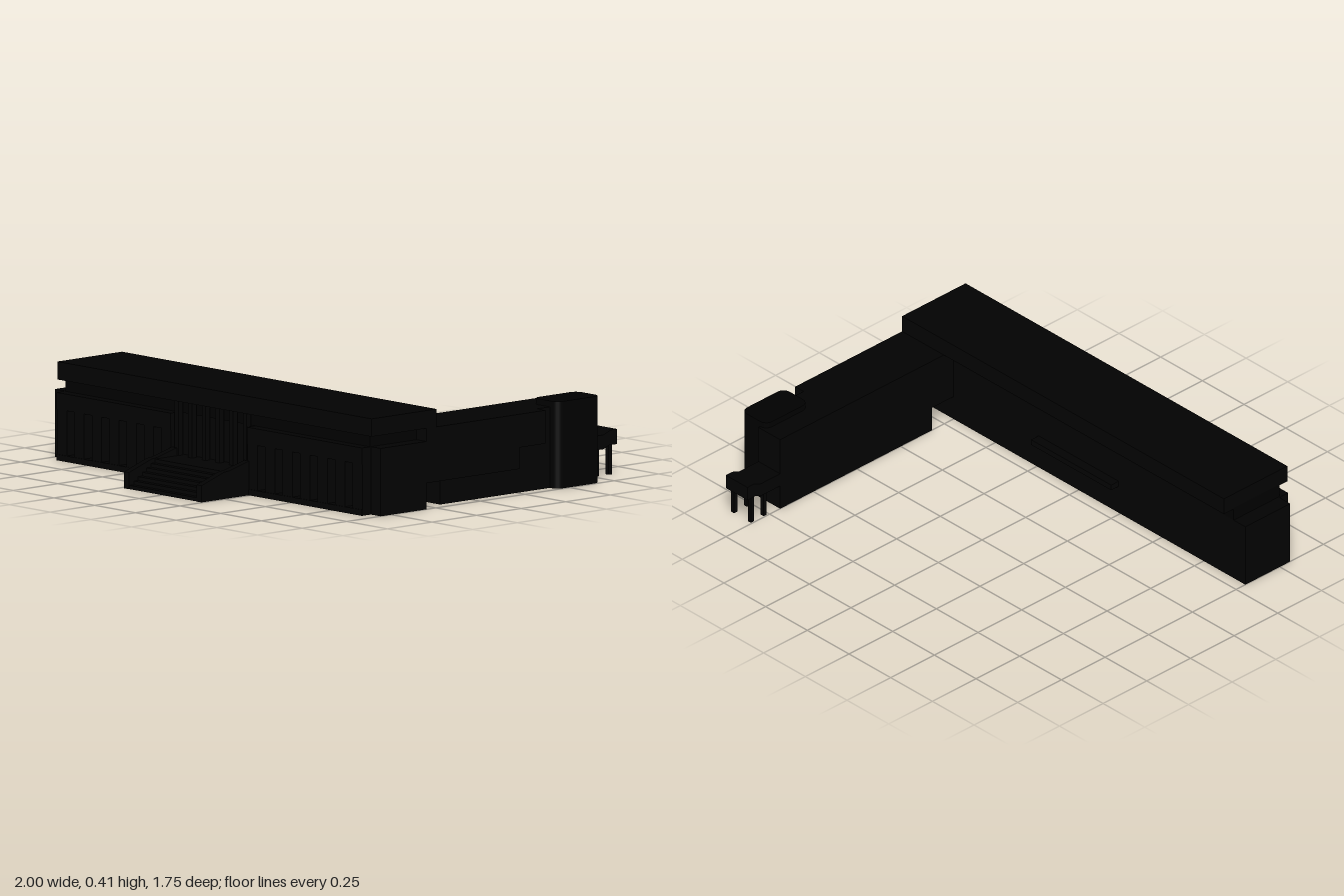
import * as THREE from 'three';

export function createModel() {
  const model = new THREE.Group();
  const charcoal = new THREE.MeshStandardMaterial({ color: 0x020202 });
  charcoal.name = 'charcoal';
  const black = new THREE.MeshStandardMaterial({ color: 0x000000 });
  black.name = 'black';

  const add = (parent, name, geometry, material = charcoal) => {
    const mesh = new THREE.Mesh(geometry, material);
    mesh.name = name;
    parent.add(mesh);
    return mesh;
  };
  // Box given by its limits on each axis
  const box = (parent, name, x0, x1, y0, y1, z0, z1, material) => {
    const mesh = add(parent, name, new THREE.BoxGeometry(x1 - x0, y1 - y0, z1 - z0), material);
    mesh.position.set((x0 + x1) / 2, (y0 + y1) / 2, (z0 + z1) / 2);
    return mesh;
  };
  // Side profile of [z, y] points, extruded along x
  const profile = (parent, name, points, x0, x1) => {
    const shape = new THREE.Shape(points.map(([z, y]) => new THREE.Vector2(-z, y)));
    const g = new THREE.ExtrudeGeometry(shape, { depth: x1 - x0, bevelEnabled: false });
    g.rotateY(Math.PI / 2).translate(x0, 0, 0);
    return add(parent, name, g);
  };
  const group = (name) => {
    const g = new THREE.Group();
    g.name = name;
    model.add(g);
    return g;
  };

  // Main hall: core, upper band and overhanging roof
  const hall = group('mainHall');
  box(hall, 'hallCore', -1, 1, 0, 0.285, 0.303, 0.56);
  box(hall, 'upperBand', -0.93, 0.94, 0.285, 0.345, 0.303, 0.565, black);
  box(hall, 'hallRoof', -0.93, 1, 0.34, 0.415, 0.247, 0.61);

  // Front facade: plinth, frieze and pilasters on both sides of the entrance
  const facade = group('facade');
  for (const side of [-1, 1]) {
    const a = side < 0 ? -0.935 : 0.235, b = side < 0 ? -0.235 : 0.94;
    box(facade, 'plinth', a, b, 0, 0.025, 0.56, 0.61);
    box(facade, 'frieze', a, b, 0.215, 0.285, 0.56, 0.61);
    for (let i = 0; i <= 6; i++) {
      const x = a + 0.03 + (b - a - 0.06) * i / 6;
      box(facade, 'pilaster', x - 0.03, x + 0.03, 0.025, 0.215, 0.56, 0.607);
    }
  }

  // Entrance with tall columns
  const entrance = group('entrance');
  box(entrance, 'porchFloor', -0.235, 0.235, 0, 0.11, 0.56, 0.61);
  for (let i = 0; i < 6; i++) {
    const x = -0.21 + 0.084 * i;
    box(entrance, 'entranceColumn', x - 0.012, x + 0.012, 0.11, 0.34, 0.575, 0.6);
  }

  // Front stairs between sloping side walls
  const stairs = group('frontStairs');
  const wall = [[0.605, 0], [0.875, 0], [0.875, 0.07], [0.75, 0.112], [0.72, 0.115], [0.61, 0.143], [0.605, 0.143]];
  profile(stairs, 'stairWall', wall, -0.23, -0.2);
  profile(stairs, 'stairWall', wall, 0.215, 0.245);
  const steps = 7;
  for (let i = 0; i < steps; i++) {
    const front = 0.872 - 0.024 * i;
    box(stairs, 'step', -0.2, 0.215, 0.11 * i / steps, 0.11 * (i + 1) / steps, 0.605, front);
  }

  // Rear canopy
  box(hall, 'rearCanopy', -0.24, 0.24, 0.13, 0.155, 0.26, 0.305);

  // Side wing, raised over a passage next to the hall
  const wing = group('sideWing');
  box(wing, 'passageBridge', 0.75, 0.95, 0.11, 0.34, 0.18, 0.303);
  box(wing, 'wingBody', 0.75, 0.95, 0, 0.34, -0.44, 0.18);
  box(wing, 'wingEnd', 0.75, 0.88, 0, 0.34, -0.69, -0.44);
  box(wing, 'overhang', 0.95, 1, 0.11, 0.34, -0.22, 0.303);
  box(wing, 'overhangEnd', 0.95, 1, 0.2, 0.34, -0.365, -0.22);

  // Stair tower with rounded corners
  const x0 = 0.845, x1 = 0.995, z0 = -0.68, z1 = -0.435, r = 0.035;
  const plan = new THREE.Shape();
  plan.absarc(x1 - r, -z0 - r, r, 0, Math.PI / 2);
  plan.absarc(x0 + r, -z0 - r, r, Math.PI / 2, Math.PI);
  plan.absarc(x0 + r, -z1 + r, r, Math.PI, Math.PI * 1.5);
  plan.absarc(x1 - r, -z1 + r, r, Math.PI * 1.5, Math.PI * 2);
  const tower = new THREE.ExtrudeGeometry(plan, { depth: 0.365, bevelEnabled: false, curveSegments: 6 });
  tower.rotateX(-Math.PI / 2);
  add(wing, 'stairTower', tower, black);

  // Raised walkway on thin posts
  const walkway = group('walkway');
  profile(walkway, 'walkwayDeck', [[-0.685, 0.112], [-0.685, 0.172], [-0.8, 0.172], [-0.84, 0.188],
    [-0.877, 0.188], [-0.877, 0.125], [-0.83, 0.125], [-0.8, 0.112]].reverse(), 0.75, 0.88);
  for (const z of [-0.77, -0.843]) {
    for (const x of [0.765, 0.865]) {
      box(walkway, 'walkwayPost', x - 0.009, x + 0.009, 0, 0.13, z - 0.009, z + 0.009);
    }
  }
  return model;
}
